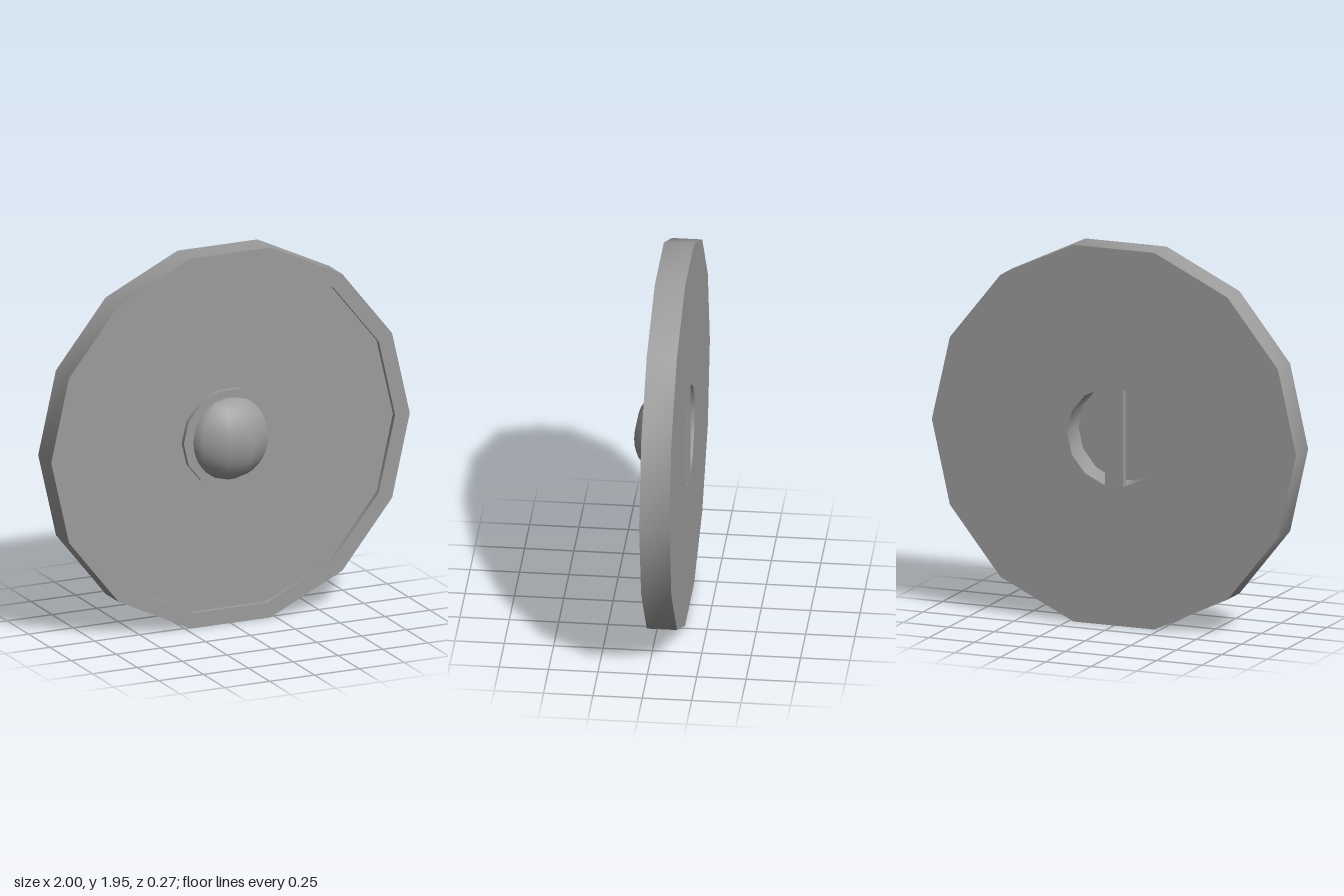
import * as THREE from 'three';
import { toCreasedNormals } from 'three/addons/utils/BufferGeometryUtils.js';

const CENTER_Y = 0.975;
const FRONT = 0.016;   // rim and hub front
const FIELD = -0.01;   // recessed front field
const BACK = -0.137;

export function createModel() {
  const model = new THREE.Group();
  model.name = 'roundShield';
  const grey = new THREE.MeshStandardMaterial({ color: 0x9c9c9c });
  grey.name = 'grey';

  const add = (name, geometry, z = 0) => {
    const mesh = new THREE.Mesh(geometry, grey);
    mesh.name = name;
    mesh.position.set(0, CENTER_Y, z);
    model.add(mesh);
  };

  // Fourteen-sided disc: hand hole behind, raised rim and hub in front
  const profile = [
    [0, 0.006], [0.257, 0.006], [0.257, BACK], [1, BACK], [1, FRONT],
    [0.918, FRONT], [0.918, FIELD], [0.26, FIELD], [0.26, FRONT], [0, FRONT],
  ].map(([r, z]) => new THREE.Vector2(r, z));
  const disc = new THREE.LatheGeometry(profile, 14, Math.PI / 2);
  disc.rotateX(Math.PI / 2);
  add('disc', toCreasedNormals(disc, 0.6));

  // Flattened half-sphere boss, its edge trimmed at the hub face
  const boss = new THREE.SphereGeometry(0.225, 5, 18, 0, Math.PI);
  boss.scale(1, 1, 0.17 / 0.225);
  boss.translate(0, 0, -0.025);
  const p = boss.attributes.position;
  for (let i = 0; i < p.count; i++) {
    if (p.getZ(i) < 0.012) p.setXYZ(i, p.getX(i) * 0.925, p.getY(i) * 0.965, 0.012);
  }
  boss.computeVertexNormals();
  add('boss', boss);

  // Upright grip across the hand hole
  add('grip', new THREE.BoxGeometry(0.1, 0.505, 0.035), BACK + 0.0185);

  return model;
}
